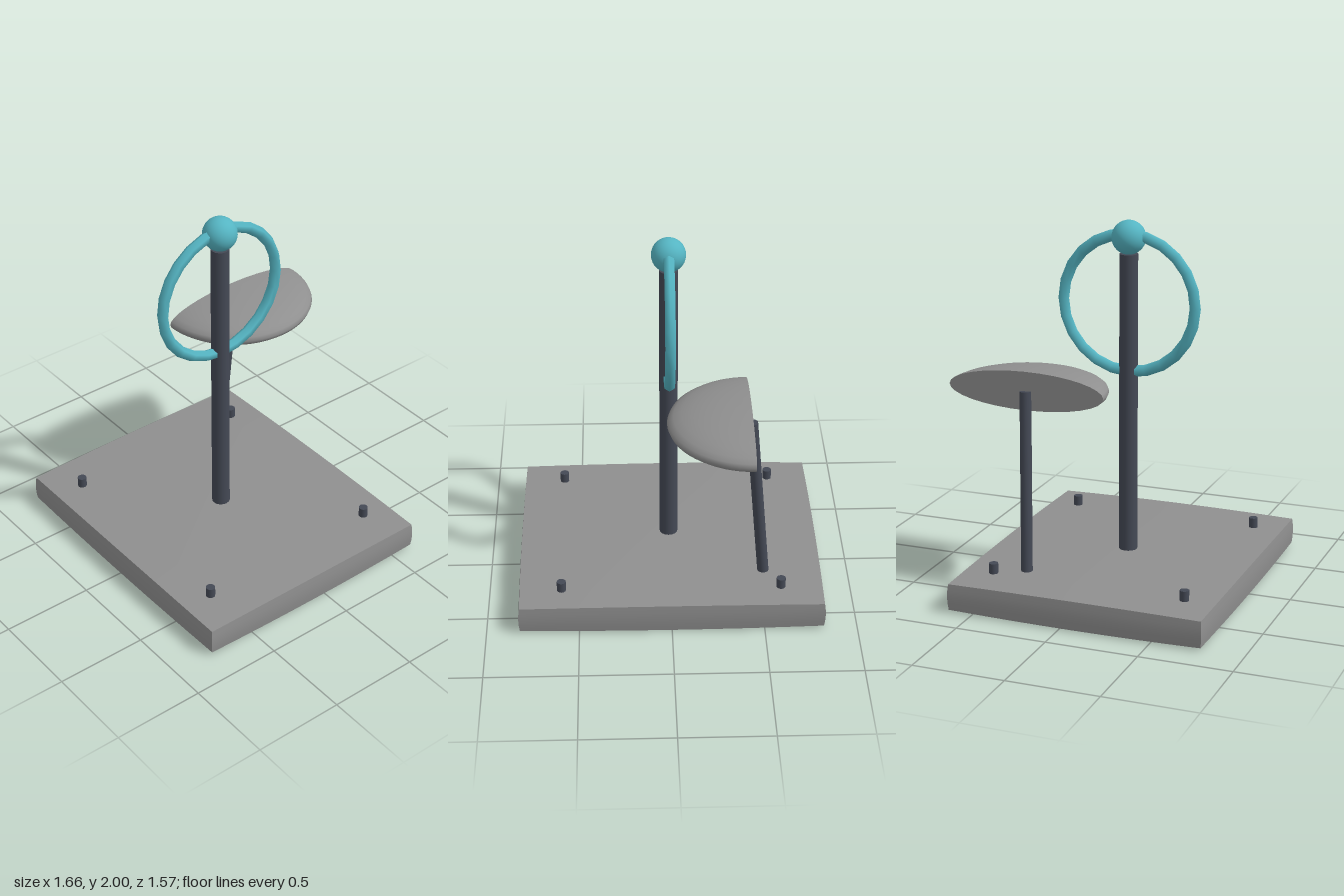
import * as THREE from 'three';

const gray = new THREE.MeshStandardMaterial({ color: 0x8f8f8f });
gray.name = 'stone gray';
const dark = new THREE.MeshStandardMaterial({ color: 0x444955 });
dark.name = 'dark slate';
const teal = new THREE.MeshStandardMaterial({ color: 0x55b5c3 });
teal.name = 'teal';

const POLE_Z = 0.07;

function add(group, name, geometry, material, x = 0, y = 0, z = 0) {
  const mesh = new THREE.Mesh(geometry, material);
  mesh.name = name;
  mesh.position.set(x, y, z);
  group.add(mesh);
  return mesh;
}

// Cylinder running between two points
function addRod(group, name, from, to, radius) {
  const dir = to.clone().sub(from);
  const mesh = add(group, name, new THREE.CylinderGeometry(radius, radius, dir.length(), 16), dark);
  mesh.position.copy(from).add(to).multiplyScalar(0.5);
  mesh.quaternion.setFromUnitVectors(new THREE.Vector3(0, 1, 0), dir.normalize());
}

// Slab whose six faces swell slightly at the middle
function baseGeometry() {
  const half = [0.82, 0.072, 0.7];
  const bulge = [0.012, 0.014, 0.01];
  const geometry = new THREE.BoxGeometry(2, 2, 2, 8, 4, 8);
  const pos = geometry.attributes.position;
  for (let i = 0; i < pos.count; i++) {
    const p = [pos.getX(i), pos.getY(i), pos.getZ(i)];
    const out = p.map((v, k) => {
      const a = p[(k + 1) % 3], b = p[(k + 2) % 3];
      return v * (half[k] + bulge[k] * (1 - (a * a + b * b) / 2));
    });
    pos.setXYZ(i, ...out);
  }
  geometry.computeVertexNormals();
  return geometry;
}

// Half of a blunt-edged lens, round towards +x, closed by a flat face at -x
function addHalfLens(group) {
  const profile = [];
  for (let i = 0; i <= 16; i++) {
    const t = -Math.PI / 2 + (Math.PI * i) / 16;
    profile.push(new THREE.Vector2(0.44 * Math.cos(t), 0.105 * Math.sin(t)));
  }
  profile[0].x = profile[16].x = 0;

  const lens = new THREE.Group();
  lens.name = 'halfLens';
  lens.position.set(-0.42, 1.135, -0.35);
  add(lens, 'lensShell', new THREE.LatheGeometry(profile, 32, 0, Math.PI), gray);

  const outline = profile.concat(
    profile.slice(1, -1).reverse().map((p) => new THREE.Vector2(-p.x, p.y)));
  const face = new THREE.ShapeGeometry(new THREE.Shape(outline));
  face.rotateY(-Math.PI / 2);
  add(lens, 'lensCutFace', face, gray);
  group.add(lens);
}

export function createModel() {
  const model = new THREE.Group();
  model.name = 'standSculpture';

  add(model, 'base', baseGeometry(), gray, 0, 0.086, POLE_Z);

  // Studs near the base corners
  for (const x of [-0.595, 0.595]) {
    for (const z of [-0.47, 0.605]) {
      add(model, 'stud', new THREE.CylinderGeometry(0.025, 0.025, 0.08, 12), dark, x, 0.18, z);
    }
  }

  // Main post with ball and ring
  addRod(model, 'post', new THREE.Vector3(0, 0.16, POLE_Z), new THREE.Vector3(0, 1.82, POLE_Z), 0.05);
  add(model, 'ball', new THREE.SphereGeometry(0.092, 24, 16), teal, 0, 1.908, POLE_Z);
  const ring = add(model, 'ring', new THREE.TorusGeometry(0.373, 0.031, 6, 24), teal, 0, 1.552, POLE_Z);
  ring.rotation.y = Math.PI / 2;

  // Leaning rod carrying the half lens
  addRod(model, 'leaningRod', new THREE.Vector3(-0.508, 0.16, -0.315), new THREE.Vector3(-0.425, 1.135, -0.347), 0.031);
  addHalfLens(model);

  return model;
}
